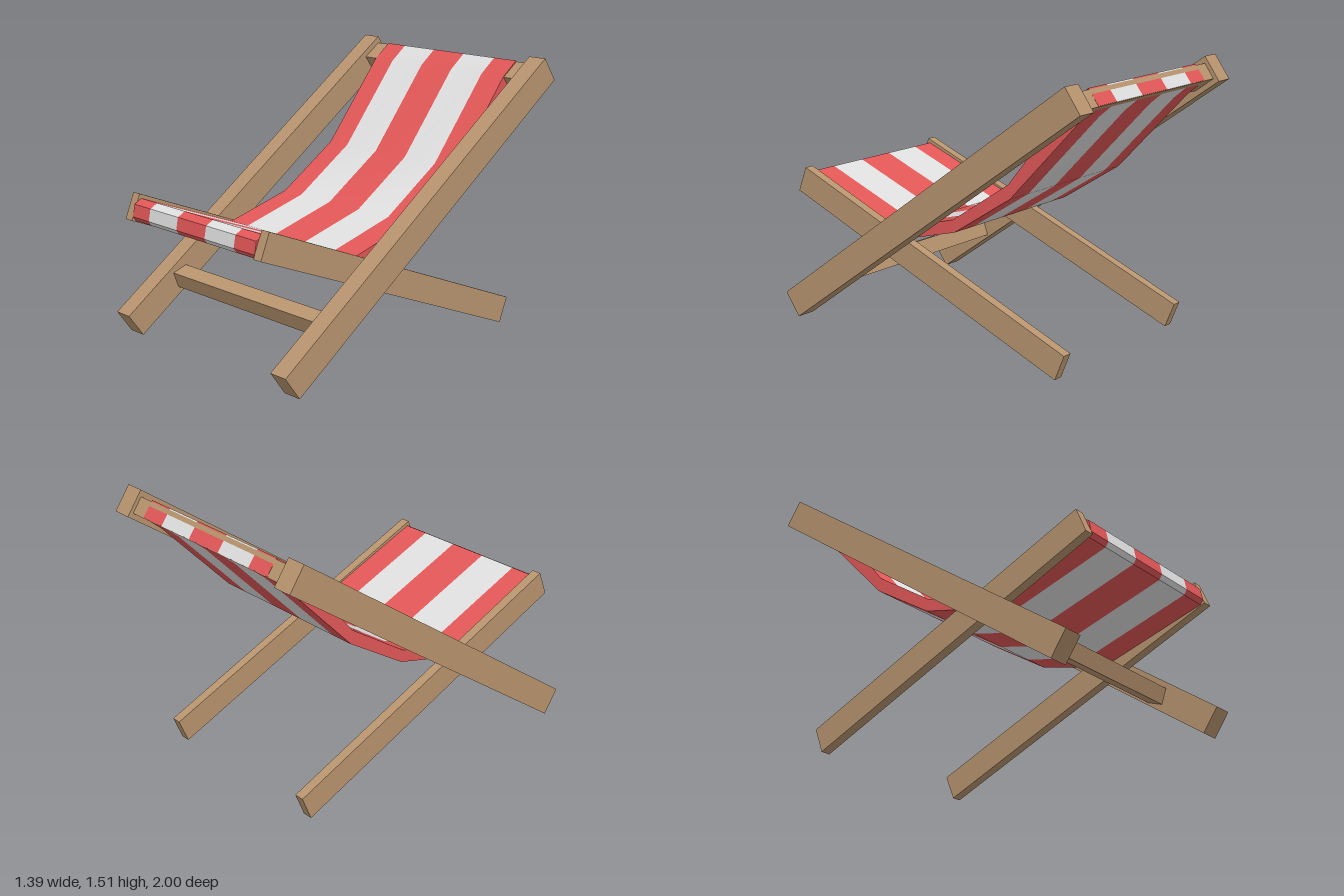
import * as THREE from 'three';
import { toCreasedNormals } from 'three/addons/utils/BufferGeometryUtils.js';

const wood = new THREE.MeshStandardMaterial({ color: 0xb8946f });
const red = new THREE.MeshStandardMaterial({ color: 0xe25757, side: THREE.DoubleSide });
const white = new THREE.MeshStandardMaterial({ color: 0xe0dfe0 });
wood.name = 'wood';
red.name = 'redCanvas';
white.name = 'whiteCanvas';

// Fabric side profile as [z, y]: upper surface from back to front, then the underside
const PROFILE = [
  [-0.965, 1.4], [-0.905, 1.48], [-0.8, 1.4], [-0.43, 0.945], [-0.07, 0.707], [0.33, 0.597],
  [0.935, 0.83], [0.98, 0.806], [0.993, 0.74], [0.975, 0.715],
  [0.33, 0.53], [-0.08, 0.64], [-0.44, 0.87], [-0.865, 1.317],
];
// Stripe borders across the width
const STRIPES = [-0.495, -0.355, -0.12, 0.11, 0.338, 0.495];

export function createModel() {
  const group = new THREE.Group();

  const add = (name, geometry, material) => {
    const mesh = new THREE.Mesh(geometry, material);
    mesh.name = name;
    group.add(mesh);
    return mesh;
  };

  // Wooden beam, tilted about the x axis
  const beam = (name, size, x, y, z, tilt) => {
    const mesh = add(name, new THREE.BoxGeometry(...size), wood);
    mesh.position.set(x, y, z);
    mesh.rotation.x = tilt;
  };

  // Two crossing frames, with a short pivot pin between them
  for (const [side, s] of [['left', 1], ['right', -1]]) {
    beam(side + 'BackRail', [0.11, 0.155, 2.32], s * 0.64, 0.775, -0.01, 0.62);
    beam(side + 'SeatRail', [0.055, 0.148, 1.905], s * 0.5225, 0.431, 0.09, -0.384);
    const pin = add(side + 'PivotPin', new THREE.CylinderGeometry(0.035, 0.035, 0.036, 24), wood);
    pin.rotation.z = Math.PI / 2;
    pin.position.set(s * 0.5675, 0.545, 0.305);
  }

  // Crossbars of the back frame
  beam('topCrossbar', [1.17, 0.095, 0.13], 0, 1.3975, -0.885, 0.62);
  beam('lowerCrossbar', [1.17, 0.091, 0.091], 0, 0.318, 0.615, 0.35);

  // Striped fabric sling: only the outer walls of each stripe
  const shape = new THREE.Shape(PROFILE.map(([z, y]) => new THREE.Vector2(z, y)));
  for (let i = 0; i < STRIPES.length - 1; i++) {
    const width = STRIPES[i + 1] - STRIPES[i];
    const solid = new THREE.ExtrudeGeometry(shape, { depth: width, bevelEnabled: false });
    const walls = solid.groups[1];
    const positions = solid.attributes.position.array.slice(walls.start * 3, (walls.start + walls.count) * 3);
    const stripe = new THREE.BufferGeometry();
    stripe.setAttribute('position', new THREE.BufferAttribute(positions, 3));
    stripe.rotateY(-Math.PI / 2).translate(STRIPES[i + 1], 0, 0);
    add('fabricStripe' + (i + 1), toCreasedNormals(stripe, 0.5), i % 2 ? white : red);
  }

  // Fabric side edges
  for (const [side, x] of [['left', 0.495], ['right', -0.495]]) {
    const edge = new THREE.ShapeGeometry(shape).rotateY(-Math.PI / 2).translate(x, 0, 0);
    add(side + 'FabricEdge', edge, red);
  }

  return group;
}
